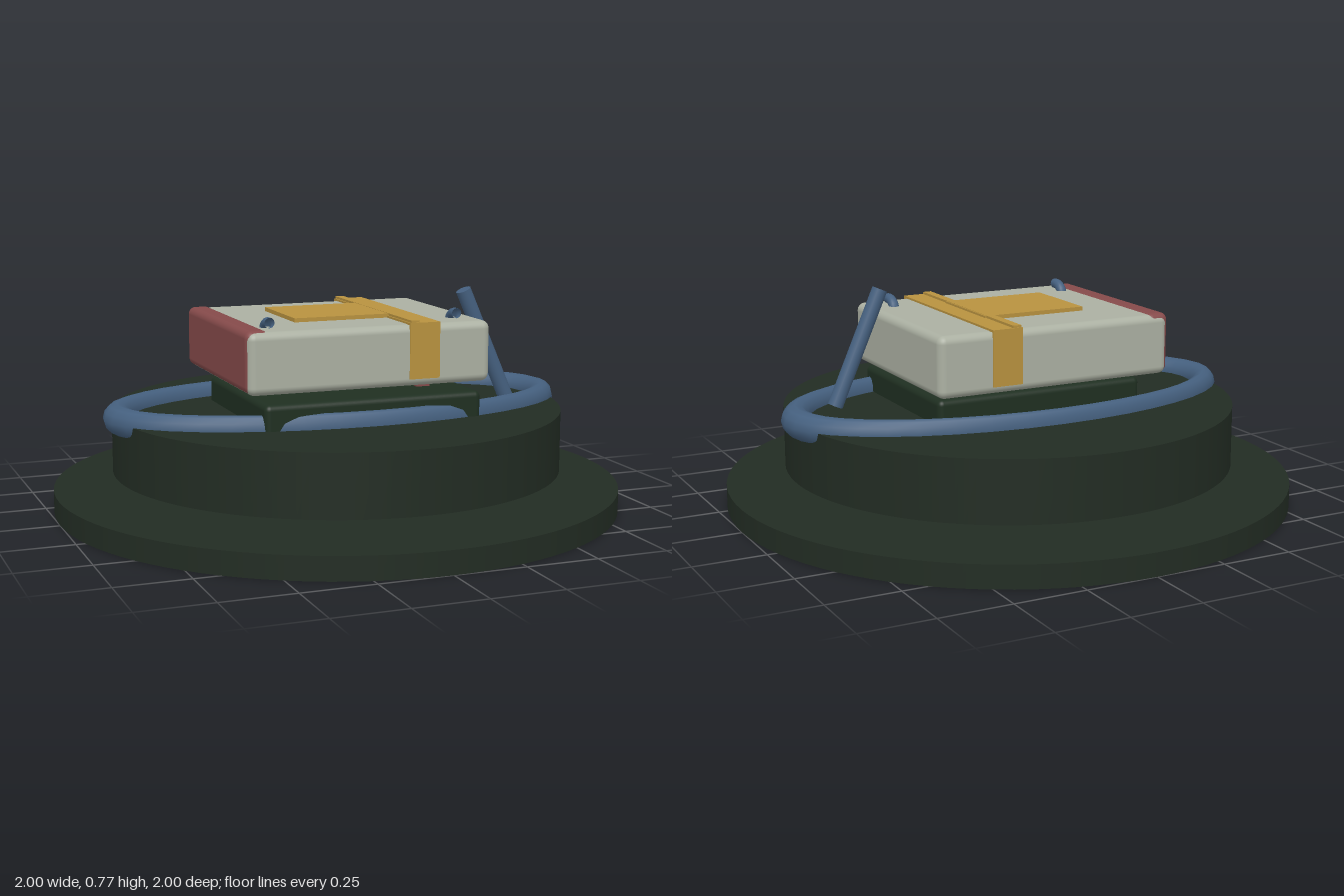
import * as THREE from 'three';
import { RoundedBoxGeometry } from 'three/addons/geometries/RoundedBoxGeometry.js';

const mat = (name, color) => {
  const m = new THREE.MeshStandardMaterial({ color });
  m.name = name;
  return m;
};

export function createModel() {
  const group = new THREE.Group();
  const darkGreen = mat('darkGreen', 0x222c23);
  const mossGreen = mat('mossGreen', 0x1f2f21);
  const blue = mat('steelBlue', 0x45607f);
  const grey = mat('paleGrey', 0xabb0a2);
  const gold = mat('gold', 0xb8923f);
  const red = mat('brickRed', 0x854a4a);
  blue.side = THREE.DoubleSide;

  const add = (name, geometry, material) => {
    const mesh = new THREE.Mesh(geometry, material);
    mesh.name = name;
    group.add(mesh);
    return mesh;
  };
  // Boxes are given by their limits on each axis; a radius rounds the edges.
  const box = (name, [x0, x1], [y0, y1], [z0, z1], material, radius = 0) => {
    const size = [x1 - x0, y1 - y0, z1 - z0];
    const geometry = radius
      ? new RoundedBoxGeometry(...size, 4, radius)
      : new THREE.BoxGeometry(...size);
    add(name, geometry, material)
      .position.set((x0 + x1) / 2, (y0 + y1) / 2, (z0 + z1) / 2);
  };
  const disc = (name, radius, y0, y1) => {
    add(name, new THREE.CylinderGeometry(radius, radius, y1 - y0, 96), darkGreen)
      .position.y = (y0 + y1) / 2;
  };

  // Base plate and the drum floating above it
  disc('basePlate', 1, 0, 0.08);
  disc('drum', 0.793, 0.135, 0.35);

  // Oval rail
  const rail = new THREE.TorusGeometry(0.79, 0.05, 12, 40);
  rail.rotateX(Math.PI / 2).scale(1, 1, 0.49);
  add('ovalRail', rail, blue).position.y = 0.35;

  // Mounting block and small post under the case
  box('mountingBlock', [-0.39, 0.39], [0.3, 0.437], [-0.255, 0.375], mossGreen, 0.02);
  box('post', [0.215, 0.265], [0.42, 0.48], [0.195, 0.22], red);

  // Case with a red end cap
  box('case', [-0.44, 0.433], [0.465, 0.675], [-0.355, 0.355], grey, 0.027);
  box('endCap', [-0.444, -0.36], [0.469, 0.679], [-0.352, 0.346], red, 0.025);

  // Strap over the top and down both sides, with its raised edge and patch
  box('strapTop', [0.13, 0.24], [0.674, 0.682], [-0.357, 0.357], gold);
  box('strapRidge', [0.135, 0.165], [0.682, 0.69], [-0.355, 0.355], gold);
  for (const side of [-1, 1]) {
    box('strapSide', [0.13, 0.24], [0.49, 0.682],
      side > 0 ? [0.351, 0.358] : [-0.358, -0.351], gold);
  }
  box('topPatch', [-0.21, 0.17], [0.674, 0.689], [-0.16, 0.155], gold);

  // Pair of small hooks bending forward
  for (const x of [-0.34, 0.34]) {
    const path = new THREE.QuadraticBezierCurve3(
      new THREE.Vector3(x, 0.655, 0.217),
      new THREE.Vector3(x, 0.698, 0.222),
      new THREE.Vector3(x, 0.695, 0.273));
    add('hook', new THREE.TubeGeometry(path, 10, 0.018, 12), blue);
  }

  // Leaning lever
  const foot = new THREE.Vector3(0.605, 0.36, 0.135);
  const tip = new THREE.Vector3(0.43, 0.757, 0.135);
  const axis = tip.clone().sub(foot);
  const lever = add('lever', new THREE.CylinderGeometry(0.027, 0.027, axis.length(), 20), blue);
  lever.position.copy(foot).add(tip).multiplyScalar(0.5);
  lever.quaternion.setFromUnitVectors(new THREE.Vector3(0, 1, 0), axis.normalize());

  return group;
}
